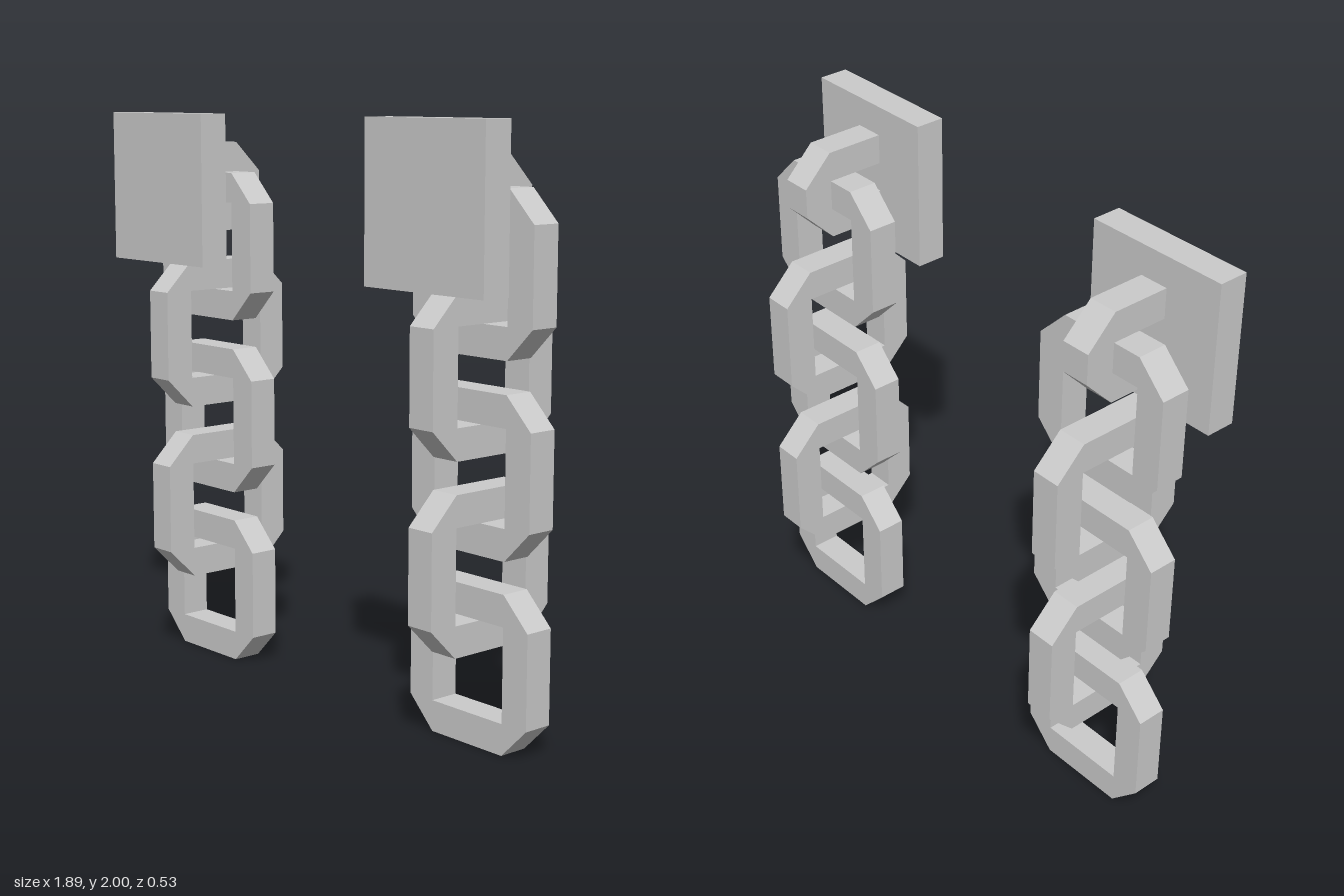
import * as THREE from 'three';

const U = 2 / 19; // bar thickness, the unit of every part
const material = new THREE.MeshStandardMaterial({ color: 0xcccccc, flatShading: true });

const points = (list) => list.map(([x, y]) => new THREE.Vector2(x * U, y * U));

// Extrudes an outline by one bar thickness, centred on its plane
function barGeometry(outline, hole) {
  const shape = new THREE.Shape(points(outline));
  if (hole) shape.holes.push(new THREE.Path(points(hole)));
  const geometry = new THREE.ExtrudeGeometry(shape, { depth: U, bevelEnabled: false });
  return geometry.translate(0, 0, -U / 2);
}

function addMesh(parent, name, geometry, y) {
  const mesh = new THREE.Mesh(geometry, material);
  mesh.name = name;
  mesh.position.y = y * U;
  parent.add(mesh);
  return mesh;
}

export function createModel() {
  const model = new THREE.Group();
  model.name = 'hangingChains';

  // Square link with chamfered outer corners
  const linkGeometry = barGeometry(
    [[-1.5, -2.5], [1.5, -2.5], [2.5, -1.5], [2.5, 1.5], [1.5, 2.5], [-1.5, 2.5], [-2.5, 1.5], [-2.5, -1.5]],
    [[-1.5, -1.5], [-1.5, 1.5], [1.5, 1.5], [1.5, -1.5]]
  );
  // Half link open towards the plate
  const hookGeometry = barGeometry([
    [1.5, -1.5], [1.5, -0.5], [-0.5, -0.5], [-0.5, 0.5], [1.5, 0.5], [1.5, 1.5],
    [-0.5, 1.5], [-1.5, 0.5], [-1.5, -0.5], [-0.5, -1.5]
  ]);
  const plateGeometry = new THREE.BoxGeometry(5 * U, 5 * U, U);

  for (const side of [1, -1]) {
    const chain = new THREE.Group();
    chain.name = side > 0 ? 'leftChain' : 'rightChain';
    chain.position.x = side * 6.5 * U;

    // Five links, every second one turned sideways
    for (let i = 0; i < 5; i++) {
      const link = addMesh(chain, `link${i + 1}`, linkGeometry, 2.5 + 3 * i);
      link.rotation.y = i % 2 ? Math.PI / 2 : 0;
    }

    // Mounting plate and the hook behind it
    addMesh(chain, 'hook', hookGeometry, 16.5).rotation.y = -Math.PI / 2;
    addMesh(chain, 'plate', plateGeometry, 16.5).position.z = 2 * U;
    model.add(chain);
  }
  return model;
}
